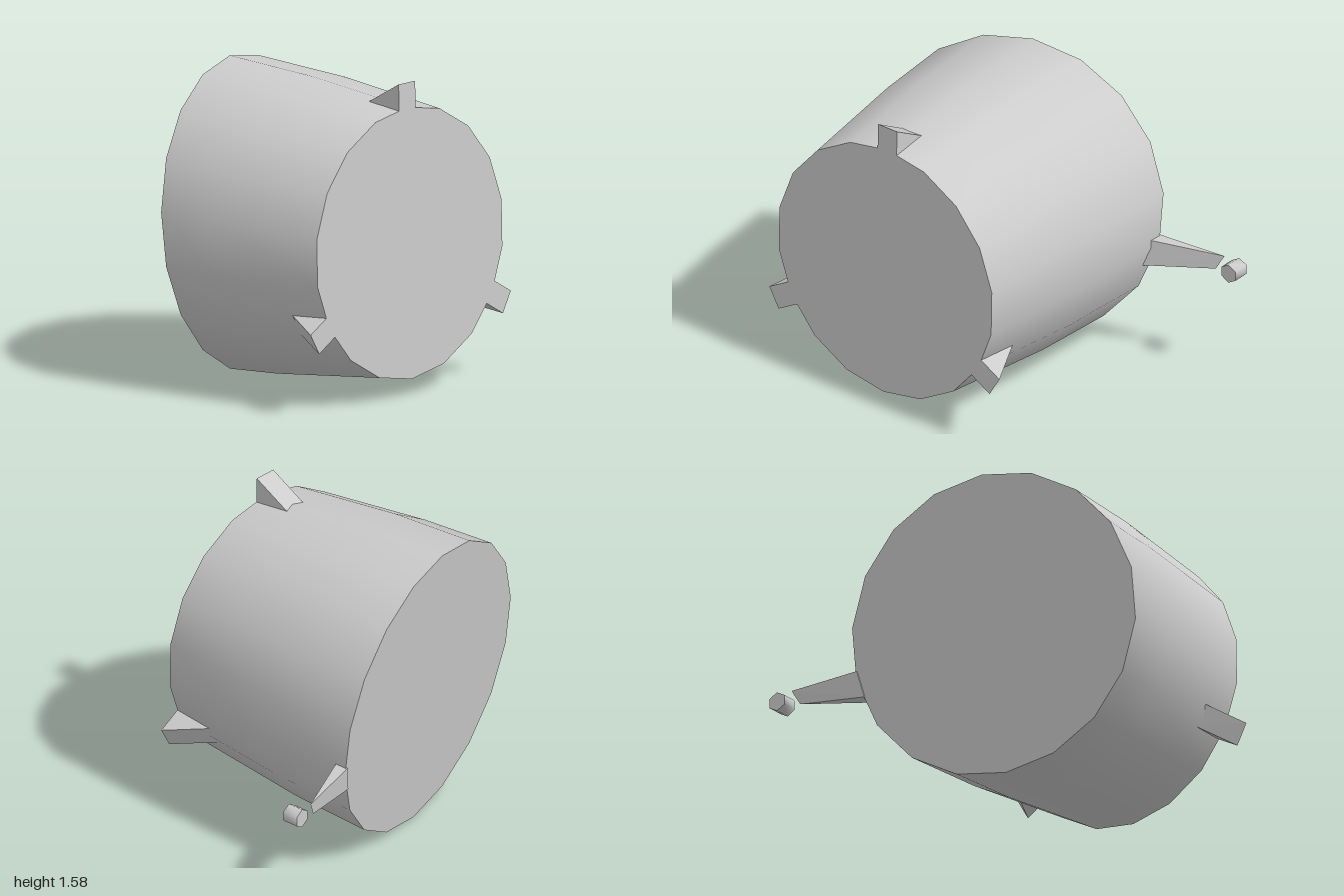
import * as THREE from 'three';
import { toCreasedNormals } from 'three/addons/utils/BufferGeometryUtils.js';
import { ConvexGeometry } from 'three/addons/geometries/ConvexGeometry.js';

const CX = -0.24, CY = 0.777;
// slanted planes of the two end caps
const frontZ = (x, y) => 0.645 + 0.022 * (x - CX) - 0.022 * (y - CY);
const backZ = (x, y) => -0.445 - 0.187 * (x - CX) - 0.123 * (y - CY);

export function createModel() {
  const group = new THREE.Group();
  const grey = new THREE.MeshStandardMaterial({ color: 0xcccccc });
  grey.name = 'grey';

  const add = (name, geometry) => {
    const mesh = new THREE.Mesh(geometry, grey);
    mesh.name = name;
    group.add(mesh);
    return mesh;
  };
  const hull = (points) => new ConvexGeometry(points.map((p) => new THREE.Vector3(...p)));

  // eighteen-sided drum: narrow front, bulging middle, slanted back
  const drum = new THREE.CylinderGeometry(1, 1, 2, 18, 2).rotateX(Math.PI / 2);
  const pos = drum.attributes.position;
  for (let i = 0; i < pos.count; i++) {
    const row = Math.round(pos.getZ(i));
    const r = row > 0 ? 0.683 : row < 0 ? 0.776 : 0.7525;
    const x = CX + r * pos.getX(i) + (row < 0 ? 0.005 : 0);
    const y = CY + r * pos.getY(i) + (row < 0 ? 0.005 : 0);
    pos.setXYZ(i, x, y, row > 0 ? frontZ(x, y) : row < 0 ? backZ(x, y) : 0);
  }
  drum.deleteAttribute('uv');
  add('drum', toCreasedNormals(drum, 0.7));

  // three wedge lugs around the front rim
  const names = ['topLug', 'lowerRightLug', 'lowerLeftLug'];
  names.forEach((name, i) => {
    const a = Math.PI / 2 + (i * Math.PI * 2) / 3;
    const c = Math.cos(a), s = Math.sin(a);
    const points = [];
    for (const w of [-0.06, 0.06]) {
      for (const [r, z] of [[0.807, null], [0.672, null], [0.688, 0.42], [0.6, 0.45]]) {
        const x = CX + r * c - w * s, y = CY + r * s + w * c;
        points.push([x, y, z === null ? frontZ(x, y) : z]);
      }
    }
    add(name, hull(points));
  });

  // tapering spike at the back edge
  add('spike', hull([
    [0.49, 0.545, -0.49], [0.52, 0.69, -0.508],
    [0.52, 0.69, -0.583], [0.49, 0.55, -0.56],
    [0.875, 0.66, -0.65], [0.835, 0.583, -0.632],
  ]));

  // small six-sided stud beyond the spike, its back end cut on a slant
  const stud = new THREE.CylinderGeometry(0.05, 0.05, 0.086, 6).rotateX(Math.PI / 2);
  const sp = stud.attributes.position;
  for (let i = 0; i < sp.count; i++) {
    if (sp.getZ(i) < 0) sp.setZ(i, sp.getZ(i) - 0.1 * sp.getX(i));
  }
  stud.deleteAttribute('uv');
  add('stud', toCreasedNormals(stud, 1.15)).position.set(0.955, 0.62, -0.622);

  return group;
}
